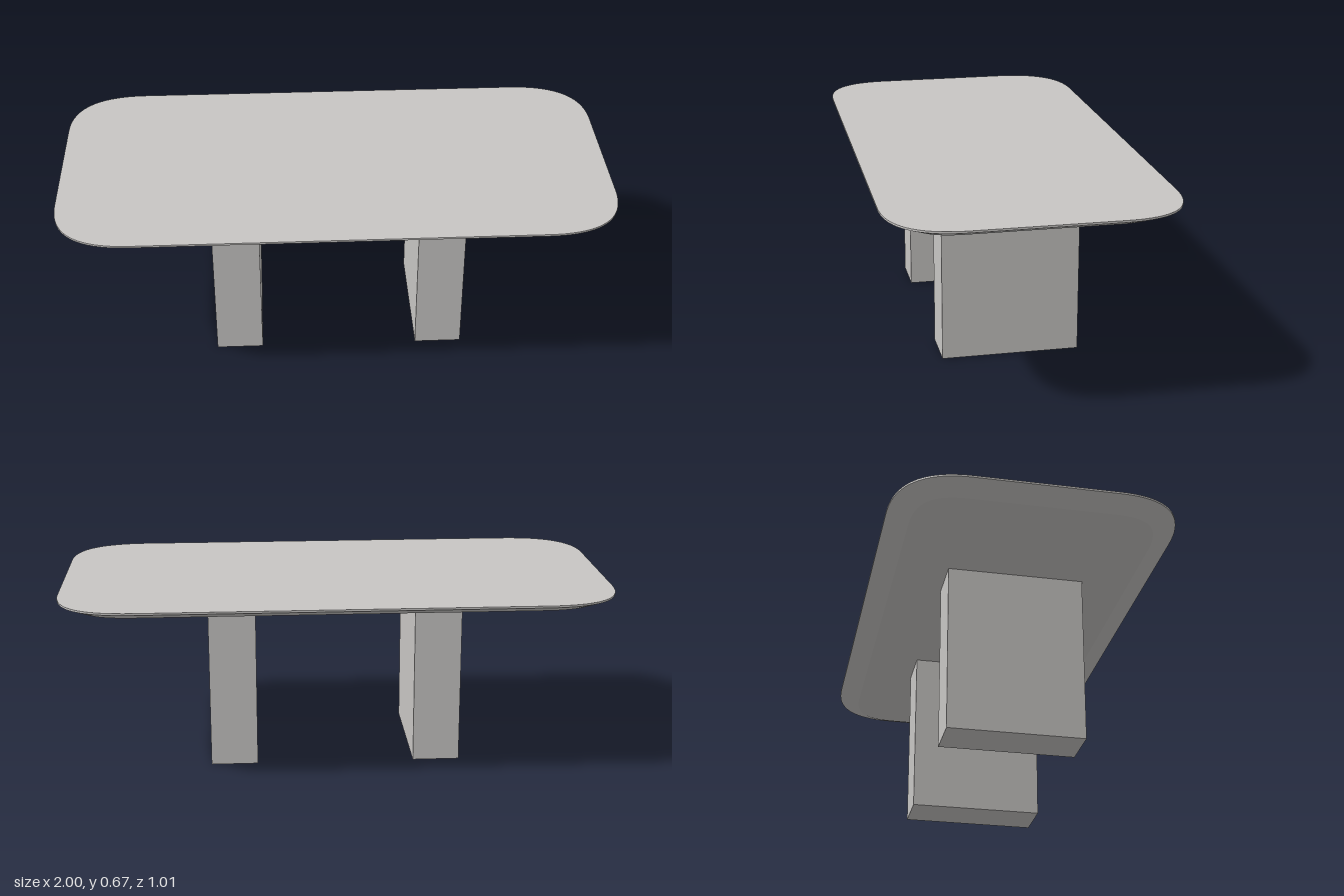
import * as THREE from 'three';

const HALF_X = 1, HALF_Z = 0.506;   // tabletop half sizes
const CORNER_X = 0.28, CORNER_Z = 0.255; // corner curve reach
const STEPS = 20;

// Soft-cornered outline at height y, inset along its normals; scale 0 collapses it to the centre
function ring(y, inset, scale = 1) {
  const points = [];
  [[1, 1], [-1, 1], [-1, -1], [1, -1]].forEach(([sx, sz], q) => {
    for (let i = 0; i <= STEPS; i++) {
      const t = (q % 2 ? STEPS - i : i) / STEPS;
      const nx = CORNER_Z * (1 - t), nz = CORNER_X * t, len = Math.hypot(nx, nz);
      const x = HALF_X - CORNER_X * t * t - inset * nx / len;
      const z = HALF_Z - CORNER_Z * (1 - t) * (1 - t) - inset * nz / len;
      points.push(new THREE.Vector3(sx * x * scale, y, sz * z * scale));
    }
  });
  return points;
}

// Closed band of faces between two rings
function band(lower, upper) {
  const n = lower.length, index = [];
  for (let i = 0; i < n; i++) {
    const j = (i + 1) % n;
    index.push(i, n + i, j, j, n + i, n + j);
  }
  const geometry = new THREE.BufferGeometry().setFromPoints([...lower, ...upper]);
  geometry.setIndex(index);
  geometry.computeVertexNormals();
  return geometry;
}

export function createModel() {
  const model = new THREE.Group();
  model.name = 'table';
  const stone = new THREE.MeshStandardMaterial({ color: 0xc8c6c4 });
  stone.name = 'pale warm grey';

  const add = (parent, name, geometry) => {
    const mesh = new THREE.Mesh(geometry, stone);
    mesh.name = name;
    parent.add(mesh);
    return mesh;
  };

  // Tabletop: flat underside, wide undercut bevel, thin rim, flat top
  const top = new THREE.Group();
  top.name = 'tabletop';
  model.add(top);
  const under = ring(0.628, 0.079), edge = ring(0.661, 0), upper = ring(0.668, 0);
  add(top, 'underside', band(ring(0.628, 0, 0), under));
  add(top, 'bevel', band(under, edge));
  add(top, 'rim', band(edge, upper));
  add(top, 'topSurface', band(upper, ring(0.668, 0, 0)));

  // Two slab legs
  for (const [name, x] of [['rightLeg', -0.369], ['leftLeg', 0.384]]) {
    add(model, name, new THREE.BoxGeometry(0.172, 0.628, 0.496)).position.set(x, 0.314, 0.007);
  }
  return model;
}
